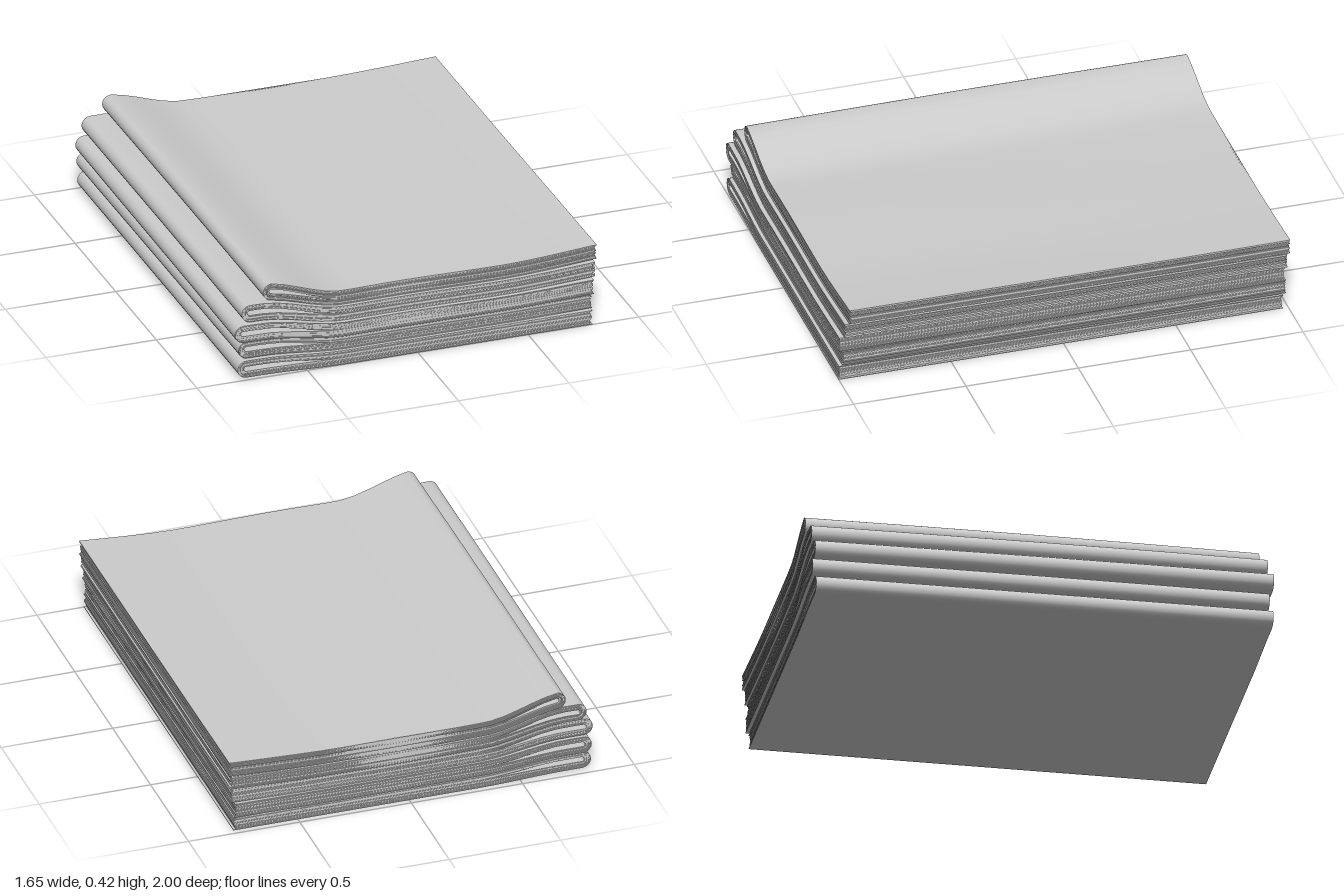
import * as THREE from 'three';
import { toCreasedNormals } from 'three/addons/utils/BufferGeometryUtils.js';

const SHEETS = 10; // nested folded sheets in each bundle

// Bundles from bottom to top: fold tip x, open edge x, back z, front z
const BUNDLES = [
  { tip: -0.815, end: 0.79, back: -0.975, front: 1.0 },
  { tip: -0.81, end: 0.79, back: -0.99, front: 0.985 },
  { tip: -0.825, end: 0.80, back: -0.98, front: 1.0 },
  { tip: -0.79, end: 0.81, back: -0.99, front: 0.98 },
  { tip: -0.69, end: 0.82, back: -1.0, front: 0.962 },
];

let seed = 7;
function random() {
  seed = (seed * 16807) % 2147483647;
  return seed / 2147483647;
}

const lerp = THREE.MathUtils.lerp;
// 0 at the puffed-up folds, 1 in the pressed flat part
const pressed = (x) => THREE.MathUtils.smoothstep(x, -0.7, -0.32);

// Middle height of a bundle at x
function middle(i, x) {
  const rise = 0.02 * (i / 4) * Math.pow(Math.max(0, (x - 0.4) / 0.42), 1.5);
  return lerp(0.052 + 0.083 * i, 0.034 + 0.0665 * i, pressed(x)) + rise;
}

// Distance from the middle: hollow inside the fold plus the sheets
function offset(x, f) {
  const s = pressed(x);
  return lerp(0.011, 0.0006, s) + f * lerp(0.028, 0.0322, s);
}

// One side of a folded sheet: open top edge, round the fold, open bottom edge
function foldLine(i, f, tip, end) {
  const center = tip + offset(tip, 1);
  const steps = 18;
  const xs = [];
  for (let k = 0; k <= steps; k++) {
    xs.push(lerp(end, center, Math.pow(k / steps, 0.7)));
  }
  const pts = xs.map((x) => new THREE.Vector2(x, middle(i, x) + offset(x, f)));
  const r = offset(center, f);
  for (let k = 1; k < 10; k++) {
    const a = Math.PI / 2 + (Math.PI * k) / 10;
    pts.push(new THREE.Vector2(center + r * Math.cos(a), middle(i, center) + r * Math.sin(a)));
  }
  for (const x of xs.reverse()) {
    pts.push(new THREE.Vector2(x, middle(i, x) - offset(x, f)));
  }
  return pts;
}

function foldedSheet(i, k, bundle) {
  const outermost = k === SHEETS - 1;
  const jitter = (amount) => (outermost ? 0 : random() * amount);
  const end = bundle.end - jitter(0.012);
  const back = bundle.back + jitter(0.007);
  const front = bundle.front - jitter(0.007);

  const outer = foldLine(i, (k + 1) / SHEETS, bundle.tip, end);
  const inner = foldLine(i, k / SHEETS, bundle.tip, end).reverse();
  const geometry = new THREE.ExtrudeGeometry(new THREE.Shape([...outer, ...inner]), {
    depth: front - back,
    steps: 4,
    bevelEnabled: false,
  });
  geometry.translate(0, 0, back);

  // Gentle waviness, growing towards the top of the stack
  const p = geometry.attributes.position;
  for (let v = 0; v < p.count; v++) {
    const x = p.getX(v);
    const y = p.getY(v);
    const z = p.getZ(v);
    p.setY(v, y + 0.008 * y * Math.sin(7 * x + 2 * z));
    p.setX(v, x + 0.004 * z * Math.sin(i * 2.1));
  }
  return toCreasedNormals(geometry, 0.6);
}

export function createModel() {
  const paper = new THREE.MeshStandardMaterial({ color: 0xcccccc });
  paper.name = 'paper grey';

  const model = new THREE.Group();
  model.name = 'paperStack';

  BUNDLES.forEach((bundle, i) => {
    const group = new THREE.Group();
    group.name = `foldedBundle${i + 1}`;
    for (let k = 0; k < SHEETS; k++) {
      const mesh = new THREE.Mesh(foldedSheet(i, k, bundle), paper);
      mesh.name = k === SHEETS - 1 ? 'coverSheet' : `innerSheet${k + 1}`;
      group.add(mesh);
    }
    model.add(group);
  });

  // Rest the stack on the floor
  model.position.y = -new THREE.Box3().setFromObject(model).min.y;
  return model;
}
